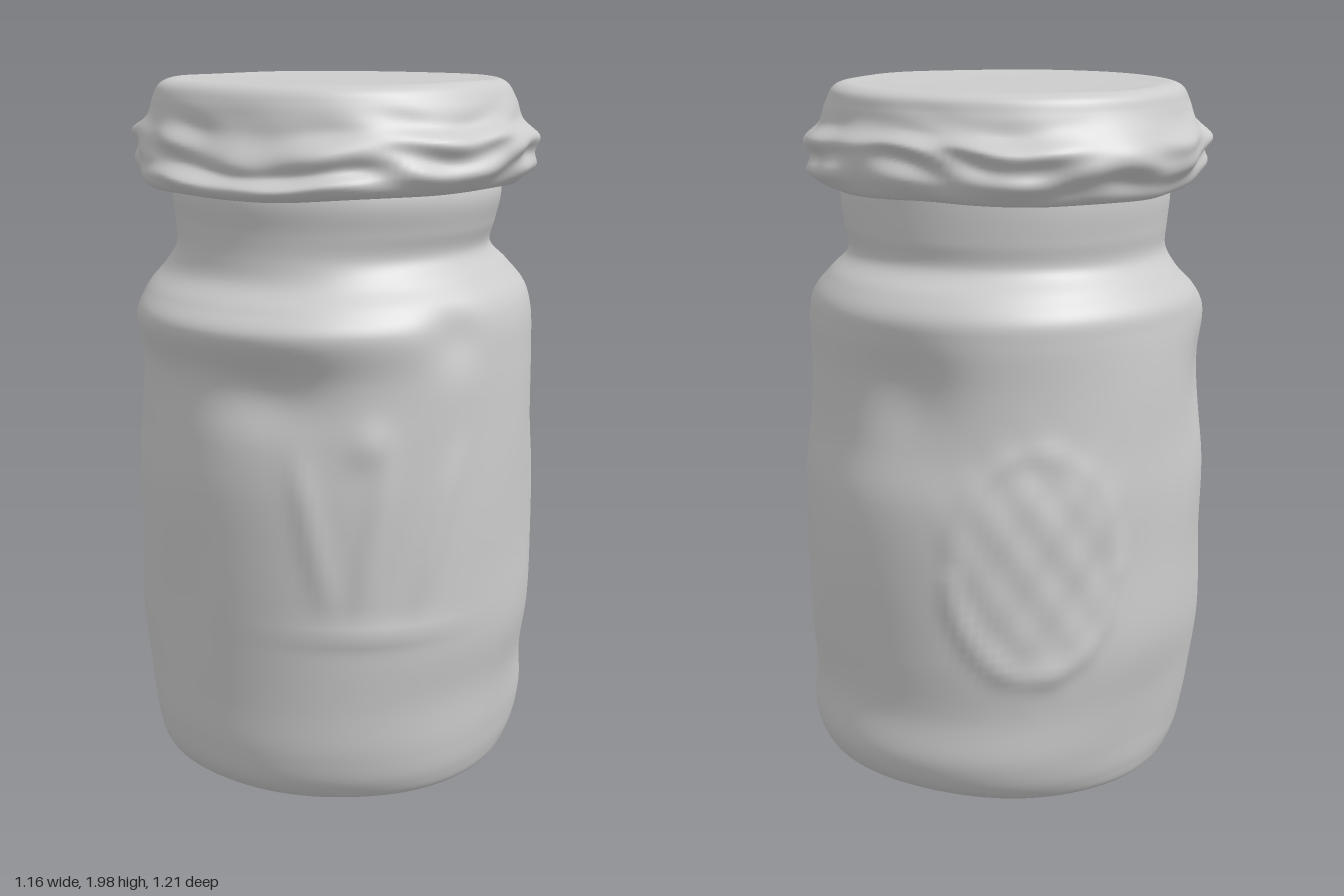
import * as THREE from 'three';

const material = new THREE.MeshStandardMaterial({ color: 0xcccccc, roughness: 0.8 });
const SEGMENTS = 160;
const RIGHT = 0, FRONT = Math.PI / 2, LEFT = Math.PI, BACK = -Math.PI / 2;

// Shortest signed angle from b to a
const turn = (a, b) => Math.atan2(Math.sin(a - b), Math.cos(a - b));

// Soft bump of given angular and vertical width
const bump = (a, y, a0, y0, wa, wy) =>
  Math.exp(-((turn(a, a0) / wa) ** 2) - ((y - y0) / wy) ** 2);

// Closed skin through rows of [y, radius on right, front, left, back],
// shaped afterwards by relief(angle, y, radius) -> [radius offset, y offset]
function skin(name, rows, steps, relief) {
  const positions = [], index = [];
  const count = (rows.length - 1) * steps + 1;
  for (let j = 0; j < SEGMENTS; j++) {
    const a = (j / SEGMENTS) * Math.PI * 2, c = Math.cos(a), s = Math.sin(a);
    const profile = new THREE.CatmullRomCurve3(rows.map(([y, r, f, l, b]) =>
      new THREE.Vector3(c * c * (c > 0 ? r : l) + s * s * (s > 0 ? f : b), y, 0)));
    profile.getPoints(count - 1).forEach((p, i) => {
      const [dr, dy] = relief(a, p.y, p.x);
      const radius = Math.max(0, p.x + dr * Math.min(1, p.x / 0.4));
      positions.push(radius * c, p.y + dy, radius * s);
      if (i === count - 1) return;
      const p0 = j * count + i, p1 = ((j + 1) % SEGMENTS) * count + i;
      index.push(p0, p0 + 1, p1, p1, p0 + 1, p1 + 1);
    });
  }
  const geometry = new THREE.BufferGeometry();
  geometry.setAttribute('position', new THREE.Float32BufferAttribute(positions, 3));
  geometry.setIndex(index);
  geometry.computeVertexNormals();
  const mesh = new THREE.Mesh(geometry, material);
  mesh.name = name;
  return mesh;
}

// Jar: hollow base, uneven body, shoulder and neck
const jarRows = [
  [0.05, 0, 0, 0, 0],
  [0.04, 0.25, 0.25, 0.25, 0.25],
  [0.012, 0.42, 0.42, 0.42, 0.42],
  [0.02, 0.485, 0.475, 0.48, 0.5],
  [0.07, 0.508, 0.525, 0.503, 0.565],
  [0.16, 0.522, 0.548, 0.52, 0.6],
  [0.3, 0.532, 0.553, 0.545, 0.582],
  [0.47, 0.563, 0.56, 0.576, 0.593],
  [0.7, 0.568, 0.572, 0.575, 0.604],
  [0.9, 0.57, 0.577, 0.577, 0.596],
  [1.05, 0.57, 0.567, 0.568, 0.565],
  [1.22, 0.568, 0.562, 0.56, 0.556],
  [1.35, 0.558, 0.603, 0.55, 0.566],
  [1.41, 0.535, 0.555, 0.54, 0.562],
  [1.47, 0.482, 0.49, 0.495, 0.52],
  [1.53, 0.436, 0.472, 0.45, 0.455],
  [1.6, 0.455, 0.468, 0.455, 0.458],
  [1.68, 0.475, 0.474, 0.463, 0.458],
  [1.76, 0.46, 0.46, 0.46, 0.455],
];

function jarRelief(a, y, r) {
  let d = 0.012 * Math.sin(2 * a) ** 2 * Math.exp(-(((y - 0.25) / 0.25) ** 2));
  // Dents below the shoulder
  d -= 0.035 * bump(a, y, FRONT - 0.25, 1.18, 0.28, 0.1);
  d -= 0.025 * bump(a, y, RIGHT + 0.35, 1.33, 0.16, 0.08);
  d -= 0.03 * bump(a, y, BACK - 0.2, 1.2, 0.25, 0.14);
  d -= 0.015 * bump(a, y, LEFT - 0.5, 1.15, 0.2, 0.14);
  // Worn raised panel: slanting ridges over a ledge
  const u = turn(a, 0.78);
  d += 0.012 * bump(a, y, 0.78, 0.53, 0.38, 0.025);
  for (const [u0, slope] of [[-0.3, 0.5], [0.02, 0.35], [0.3, -0.35]]) {
    const off = (u - u0 + slope * (y - 0.8)) / 0.06;
    d += 0.012 * Math.exp(-off * off - (((y - 0.82) / 0.2) ** 4));
  }
  d += 0.014 * bump(a, y, 0.82, 1.06, 0.1, 0.06);
  // Worn oval panel on the other side
  const v = turn(a, LEFT + 0.72) / 0.42, w = (y - 0.75) / 0.33;
  const oval = Math.hypot(v, w);
  d += 0.012 * Math.exp(-(((oval - 0.95) / 0.1) ** 2)) * (w < 0 ? 1 : 0.5);
  d += 0.006 * Math.exp(-(oval ** 4)) * (1 + Math.sin(v * 11) * Math.cos(w * 10));
  // Gentle unevenness, and the base lifts at the back
  d += 0.003 * Math.sin(5 * a + 4 * y) * Math.sin(6 * y + 2 * a);
  const lift = 0.035 * Math.max(0, -Math.sin(a)) ** 2 * Math.exp(-y / 0.08) * Math.min(1, r / 0.45);
  return [d, lift];
}

// Cloth cover: hem, bulging folds, flat top
const coverRows = [
  [1.72, 0.44, 0.45, 0.44, 0.44],
  [1.705, 0.48, 0.5, 0.47, 0.475],
  [1.71, 0.52, 0.57, 0.5, 0.505],
  [1.75, 0.56, 0.6, 0.532, 0.545],
  [1.79, 0.568, 0.562, 0.553, 0.538],
  [1.84, 0.572, 0.562, 0.575, 0.553],
  [1.885, 0.533, 0.532, 0.54, 0.515],
  [1.94, 0.507, 0.523, 0.512, 0.497],
  [1.975, 0.485, 0.505, 0.495, 0.485],
  [1.99, 0.46, 0.475, 0.465, 0.455],
  [1.988, 0.4, 0.4, 0.4, 0.4],
  [1.984, 0.2, 0.2, 0.2, 0.2],
  [1.984, 0, 0, 0, 0],
];

function coverRelief(a, y, r) {
  const side = Math.exp(-(((y - 1.8) / 0.09) ** 2));
  // Creases running round the cover at a slant
  const folds = 0.008 * Math.sin(70 * y + 3 * Math.sin(2 * a + 0.6) + 2 * Math.sin(5 * a))
    + 0.006 * Math.sin(9 * a + 25 * y) * Math.sin(4 * a + 1)
    + 0.004 * Math.sin(17 * a - 30 * y);
  const hem = 0.012 * Math.sin(3 * a + 0.5) + 0.007 * Math.sin(7 * a + 2) - 0.01 * Math.sin(a);
  const ripple = y > 1.97 ? 0.003 * Math.sin(14 * r * Math.sin(a) + 2 * Math.cos(a) * r) * Math.min(1, (0.5 - r) * 8) : 0;
  return [folds * side, hem * side + ripple];
}

export function createModel() {
  const group = new THREE.Group();
  group.name = 'coveredJar';
  group.add(skin('jar', jarRows, 8, jarRelief), skin('clothCover', coverRows, 7, coverRelief));
  return group;
}
